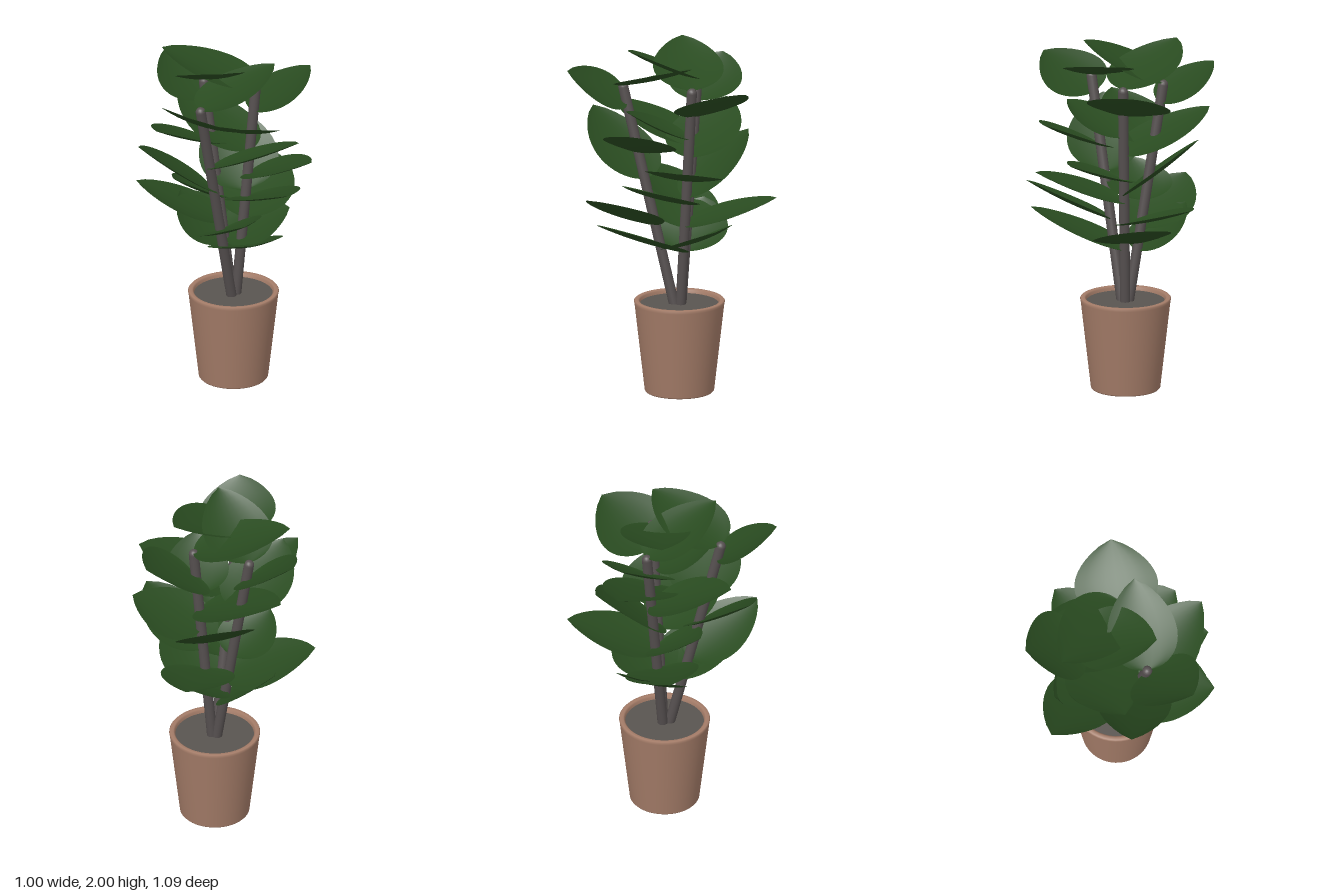
import * as THREE from 'three';

const V = (a) => new THREE.Vector3(...a);

const leafMat = new THREE.MeshStandardMaterial({ name: 'leaf green', color: 0x294b20, side: THREE.DoubleSide });
const stemMat = new THREE.MeshStandardMaterial({ name: 'bark grey', color: 0x565050 });
const soilMat = new THREE.MeshStandardMaterial({ name: 'soil grey', color: 0x595550 });
const potMat = new THREE.MeshStandardMaterial({ name: 'terracotta', color: 0xa47c68 });

// Broad leaf from base to tip: round at the stem, pointed at the end, slightly cupped.
// A positive roll lifts the long edge on the (up x direction) side.
function leafGeometry(base, tip, width, roll) {
  const rows = 18, cols = 8, n = cols + 1, positions = [], index = [];
  const axis = tip.clone().sub(base);
  const dir = axis.clone().normalize();
  const side = new THREE.Vector3(0, 1, 0).cross(dir).normalize().applyAxisAngle(dir, roll);
  const normal = dir.clone().cross(side);
  for (let i = 0; i <= rows; i++) {
    const t = i / rows;
    const s = t * t * (1.6 - 0.6 * t);          // closer rows near the round base
    const half = width * 0.5 * 2.38 * Math.pow(s, 0.5) * Math.pow(1 - s, 0.8);
    for (let j = 0; j <= cols; j++) {
      const v = (j / cols) * 2 - 1;
      const lift = 0.06 * v * v * half / width - 0.06 * s * (1 - s);
      const p = base.clone().addScaledVector(axis, s)
        .addScaledVector(side, half * v).addScaledVector(normal, lift);
      positions.push(p.x, p.y, p.z);
    }
  }
  for (let i = 0; i < rows; i++) {
    for (let j = 0; j < cols; j++) {
      const a = i * n + j, b = a + 1, c = a + n, d = c + 1;
      if (i > 0) index.push(a, c, b);
      if (i < rows - 1) index.push(b, c, d);
    }
  }
  const g = new THREE.BufferGeometry();
  g.setAttribute('position', new THREE.Float32BufferAttribute(positions, 3));
  g.setIndex(index);
  g.computeVertexNormals();
  return g;
}

export function createModel() {
  const model = new THREE.Group();
  model.name = 'pottedPlant';
  const add = (name, geometry, material, parent = model) => {
    const mesh = new THREE.Mesh(geometry, material);
    mesh.name = name;
    parent.add(mesh);
    return mesh;
  };

  // Pot: tapered wall with a rounded lip, and the soil inside
  const profile = [[0, 0], [0.19, 0], [0.197, 0.008], [0.255, 0.515], [0.258, 0.528], [0.252, 0.535],
    [0.234, 0.535], [0.225, 0.528], [0.222, 0.5]].map(([x, y]) => new THREE.Vector2(x, y));
  add('pot', new THREE.LatheGeometry(profile, 48), potMat).position.set(0.052, 0, -0.048);
  const soil = add('soil', new THREE.CircleGeometry(0.224, 40), soilMat);
  soil.rotation.x = -Math.PI / 2;
  soil.position.set(0.052, 0.512, -0.048);

  // Three stems leaning apart, with rounded ends
  const stems = {
    right: [V([0.065, 0.48, -0.05]), V([0.18, 1.8, -0.08])],
    front: [V([0.045, 0.48, -0.025]), V([-0.135, 1.785, 0.23])],
    back: [V([0.045, 0.48, -0.06]), V([-0.12, 1.78, -0.215])],
  };
  const up = new THREE.Vector3(0, 1, 0);
  for (const [key, [a, b]] of Object.entries(stems)) {
    const axis = b.clone().sub(a);
    const stem = add(key + 'Stem', new THREE.CapsuleGeometry(0.029, axis.length() - 0.05, 5, 16), stemMat);
    stem.position.copy(a).addScaledVector(axis, 0.5);
    stem.quaternion.setFromUnitVectors(up, axis.normalize());
  }

  // Leaves: stem, height on the stem, tip, width, roll
  const leaves = [
    ['right', 0.82, [0.165, 1.045, 0.485], 0.43, 0.1],
    ['right', 0.98, [0.305, 1.155, -0.545], 0.42, 0],
    ['right', 1.11, [0.37, 1.31, 0.38], 0.42, 0],
    ['right', 1.15, [0.01, 1.49, -0.475], 0.45, -0.12],
    ['right', 1.25, [0.495, 1.4, 0.12], 0.44, -0.06],
    ['right', 1.39, [-0.26, 1.615, -0.44], 0.42, 0],
    ['right', 1.5, [0.1, 1.68, 0.29], 0.36, 0],
    ['right', 1.63, [0.485, 1.83, -0.275], 0.48, -0.18],
    ['right', 1.79, [-0.355, 1.97, -0.205], 0.4, 0],
    ['front', 0.96, [0.12, 1.185, 0.53], 0.38, 0.2],
    ['front', 1.23, [-0.485, 1.57, 0.285], 0.42, 0],
    ['front', 1.38, [0.425, 1.61, 0.315], 0.42, -0.15],
    ['front', 1.67, [-0.195, 1.865, 0.54], 0.45, -0.22],
    ['front', 1.77, [0.285, 1.945, -0.04], 0.4, -0.08],
    ['back', 0.8, [-0.25, 1.04, -0.3], 0.42, 0],
    ['back', 0.84, [0.37, 1.0, -0.15], 0.45, 0.18],
    ['back', 0.93, [-0.5, 1.14, -0.205], 0.42, 0.1],
    ['back', 1.09, [-0.285, 1.265, 0.05], 0.38, 0],
    ['back', 1.41, [-0.385, 1.63, 0.2], 0.42, 0],
    ['back', 1.65, [-0.335, 1.86, -0.44], 0.44, 0],
    ['back', 1.77, [-0.02, 2.0, 0.235], 0.4, -0.04],
  ];
  const foliage = new THREE.Group();
  foliage.name = 'foliage';
  model.add(foliage);
  for (const [key, y, tip, width, roll] of leaves) {
    const [a, b] = stems[key];
    const base = a.clone().lerp(b, (y - a.y) / (b.y - a.y));
    add('leaf', leafGeometry(base, V(tip), width, roll), leafMat, foliage);
  }
  return model;
}
